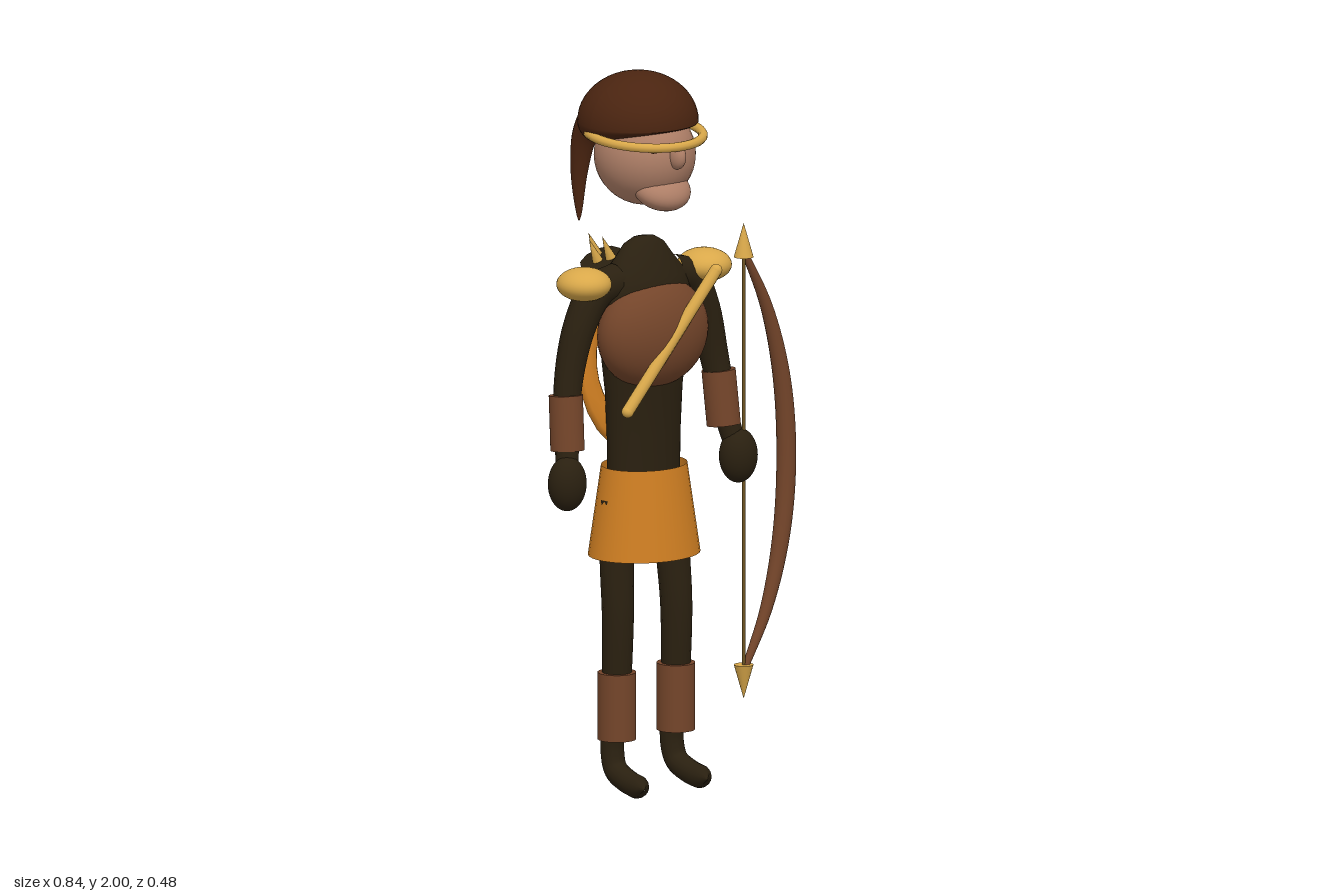
import * as THREE from 'three';

const mat = (name, color, side = THREE.FrontSide) => {
  const m = new THREE.MeshStandardMaterial({ color, side });
  m.name = name;
  return m;
};
const V = (x, y, z) => new THREE.Vector3(x, y, z);

// Tube along a smooth path whose radius follows a rule r(t)
function taperedTube(points, radius, steps = 28, sides = 14) {
  const path = new THREE.CatmullRomCurve3(points.map(p => V(...p)));
  const geo = new THREE.TubeGeometry(path, steps, 1, sides, false);
  const pos = geo.attributes.position, v = V(0, 0, 0);
  for (let i = 0; i <= steps; i++) {
    const c = path.getPointAt(i / steps), r = radius(i / steps);
    for (let j = 0; j <= sides; j++) {
      const k = i * (sides + 1) + j;
      v.fromBufferAttribute(pos, k).sub(c).multiplyScalar(r).add(c);
      pos.setXYZ(k, v.x, v.y, v.z);
    }
  }
  return geo;
}

// Constant radius with a rounded far end
const roundTip = (r, from) => t =>
  t < from ? r : r * Math.sqrt(Math.max(0, 1 - ((t - from) / (1 - from)) ** 2)) + 0.0005;

export function createModel() {
  const model = new THREE.Group();
  model.name = 'archer';
  const cloth = mat('dark cloth', 0x2a2010);
  const hairMat = mat('dark brown hair', 0x4a2410);
  const leather = mat('brown leather', 0x74452a);
  const orange = mat('orange fabric', 0xd07f22, THREE.DoubleSide);
  const gold = mat('gold', 0xd9a84a);
  const skin = mat('skin', 0xb08068);
  const cord = mat('bow cord', 0x6b5222);

  const add = (parent, name, geo, material, pos = [0, 0, 0], rot = [0, 0, 0]) => {
    const mesh = new THREE.Mesh(geo, material);
    mesh.name = name;
    mesh.position.set(...pos);
    mesh.rotation.set(...rot);
    parent.add(mesh);
    return mesh;
  };
  const ellipsoid = (rx, ry, rz) => new THREE.SphereGeometry(1, 32, 20).scale(rx, ry, rz);

  // The body's mirror plane sits left of the bow
  const body = new THREE.Group();
  body.name = 'body';
  body.position.x = -0.065;
  model.add(body);

  // Head
  add(body, 'face', ellipsoid(0.14, 0.14, 0.14), skin, [0, 1.775, 0.07]);
  add(body, 'chin', ellipsoid(0.085, 0.05, 0.08), skin, [0, 1.69, 0.142], [0.5, 0, 0]);
  add(body, 'nose', ellipsoid(0.021, 0.036, 0.032), skin, [0, 1.79, 0.21]);
  add(body, 'brow', new THREE.BoxGeometry(0.165, 0.014, 0.009), hairMat, [0, 1.815, 0.205]);

  // Domed hair that reaches lower at the back
  const hair = new THREE.SphereGeometry(1, 40, 28);
  const hp = hair.attributes.position;
  for (let i = 0; i < hp.count; i++) {
    const y = hp.getY(i), z = hp.getZ(i);
    hp.setXYZ(i, hp.getX(i) * 0.166, y * (y > 0 ? 0.138 : 0.065 - 0.055 * z), z * 0.166);
  }
  hair.computeVertexNormals();
  add(body, 'hair', hair, hairMat, [0, 1.862, 0.04]);
  add(body, 'ponytail', taperedTube(
    [[0, 1.86, -0.07], [0, 1.855, -0.13], [0, 1.79, -0.19], [0, 1.68, -0.217], [0, 1.54, -0.218]],
    t => 0.047 * (1 - t) ** 0.7 + 0.002), hairMat);

  // Headband, dipping at the front
  const band = [];
  for (let i = 0; i <= 12; i++) {
    const a = -0.4 + (i / 12) * (Math.PI + 0.8);
    band.push([0.16 * Math.cos(a), 1.835 - 0.014 * Math.sin(a), 0.068 + 0.161 * Math.sin(a)]);
  }
  add(body, 'headband', taperedTube(band, () => 0.013, 48, 10), gold);

  // Torso
  const profile = [[0.114, 0.88], [0.116, 1.0], [0.122, 1.12], [0.14, 1.27], [0.15, 1.38],
    [0.132, 1.44], [0.09, 1.49], [0.064, 1.525], [0.035, 1.542], [0, 1.546]];
  add(body, 'torso', new THREE.LatheGeometry(profile.map(p => new THREE.Vector2(...p)), 32)
    .scale(1, 1, 0.62), cloth, [0, 0, 0.065]);
  add(body, 'breastplate', ellipsoid(0.178, 0.155, 0.1), leather, [0, 1.283, 0.105]);

  // Orange loop around the back and flanks, leaning backward at the top
  add(body, 'sash', new THREE.TorusGeometry(0.145, 0.035, 8, 24).scale(1, 1.38, 0.5),
    orange, [0, 1.185, -0.002], [-0.13, 0, 0]);
  const skirt = add(body, 'skirt',
    new THREE.CylinderGeometry(0.125, 0.163, 0.25, 32, 4, true).scale(1, 1, 0.85), orange, [0, 0.785, 0.067]);
  skirt.updateMatrix();

  // Diagonal gold rod over the chest
  const rod = new THREE.LineCurve3(V(0.143, 1.452, 0.203), V(-0.153, 1.093, 0.187));
  add(body, 'chestRod', new THREE.TubeGeometry(rod, 1, 0.017, 12), gold);
  [[0.143, 1.452, 0.203], [-0.153, 1.093, 0.187]].forEach(p =>
    add(body, 'rodEnd', ellipsoid(0.017, 0.017, 0.017), gold, p));

  // Limbs
  for (const [side, s] of [['left', 1], ['right', -1]]) {
    add(body, side + 'ShoulderPad', ellipsoid(0.075, 0.046, 0.077), gold, [s * 0.21, 1.437, 0.067]);
    add(body, side + 'Arm', taperedTube(
      [[s * 0.09, 1.43, 0.065], [s * 0.16, 1.41, 0.06], [s * 0.215, 1.32, 0.055],
        [s * 0.255, 1.17, 0.055], [s * 0.28, 1.0, 0.08], [s * 0.295, 0.92, 0.1]],
      t => 0.052 - 0.022 * t), cloth);
    add(body, side + 'Bracer', new THREE.CylinderGeometry(0.047, 0.047, 0.152, 24),
      leather, [s * 0.27, 1.058, 0.066], [-0.1, 0, s * 0.04]);
    add(body, side + 'Hand', ellipsoid(0.055, 0.076, 0.05), cloth, [s * 0.299, 0.898, 0.105]);
    add(body, side + 'Leg', taperedTube(
      [[s * 0.09, 0.82, 0.065], [s * 0.098, 0.65, 0.07], [s * 0.102, 0.5, 0.08], [s * 0.103, 0.2, 0.072]],
      t => 0.05 - 0.012 * t), cloth);
    add(body, side + 'BootCuff', new THREE.CylinderGeometry(0.053, 0.053, 0.187, 24),
      leather, [s * 0.103, 0.248, 0.077]);
    add(body, side + 'Foot', taperedTube(
      [[s * 0.103, 0.2, 0.062], [s * 0.104, 0.12, 0.058], [s * 0.106, 0.07, 0.075],
        [s * 0.108, 0.045, 0.13], [s * 0.11, 0.033, 0.207]],
      roundTip(0.033, 0.86)), cloth);
  }

  // Quiver with three arrow points
  const quiver = new THREE.Group();
  quiver.name = 'quiver';
  quiver.position.set(0.0, 1.262, -0.09);
  quiver.rotation.z = 0.436;
  model.add(quiver);
  add(quiver, 'quiverTube', new THREE.CylinderGeometry(0.061, 0.061, 0.435, 10), cloth);
  [-0.03, 0, 0.03].forEach((z, i) =>
    add(quiver, 'arrowPoint', new THREE.ConeGeometry(0.016, 0.075, 10), gold, [i === 1 ? -0.012 : 0.012, 0.25, z]));

  // Bow
  const bow = new THREE.Group();
  bow.name = 'bow';
  bow.position.set(0.243, 0.883, 0.117);
  model.add(bow);
  add(bow, 'bowLimb', taperedTube(
    [[0.002, 0.585, 0], [0.08, 0.42, 0], [0.132, 0.22, 0], [0.149, 0, 0],
      [0.132, -0.22, 0], [0.08, -0.42, 0], [0.002, -0.585, 0]],
    t => 0.009 + 0.018 * Math.sin(Math.PI * t), 48), leather);
  add(bow, 'bowString', new THREE.CylinderGeometry(0.005, 0.005, 1.17, 8), cord);
  for (const s of [1, -1])
    add(bow, 'bowTip', new THREE.ConeGeometry(0.027, 0.095, 20), gold, [0, s * 0.617, 0], [s > 0 ? 0 : Math.PI, 0, 0]);

  return model;
}
